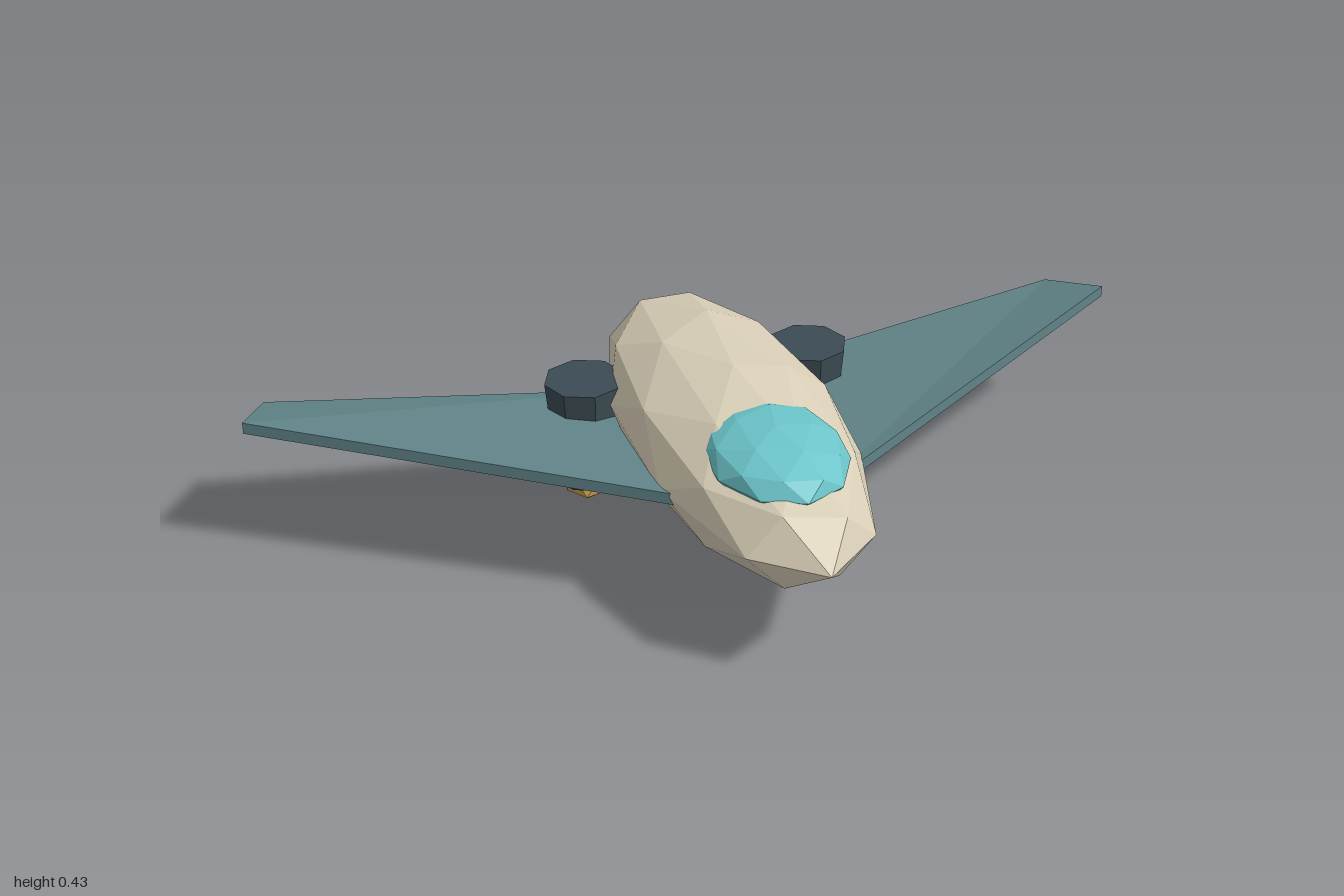
import * as THREE from 'three';

const paint = (color) => new THREE.MeshStandardMaterial({ color, flatShading: true });
const hull = paint(0xd9cfb8), glass = paint(0x6cc5ca), wingPaint = paint(0x618589);
const dark = paint(0x3c4c54), gold = paint(0xcfa250);

function add(parent, name, geometry, material, x = 0, y = 0, z = 0) {
  const mesh = new THREE.Mesh(geometry, material);
  mesh.name = name;
  mesh.position.set(x, y, z);
  parent.add(mesh);
  return mesh;
}

// Faceted ellipsoid with a vertex straight up and down
function ellipsoid(rx, ry, rz, detail) {
  return new THREE.IcosahedronGeometry(1, detail)
    .rotateZ(-Math.atan(2 / (1 + Math.sqrt(5))))
    .scale(rx, ry, rz);
}

// Swept, twisted wing: a box whose corners move to the root and tip chords
function wing(side) {
  const root = { x: 0.1, lead: [0.275, 0.29], trail: [0.21, -0.33] };
  const tip = { x: 1, lead: [0.323, -0.267], trail: [0.272, -0.433] };
  tip.trailX = 0.935;
  root.trailX = 0.1;
  const thickness = 0.026;
  const geometry = new THREE.BoxGeometry(1, 1, 1);
  const p = geometry.attributes.position;
  for (let i = 0; i < p.count; i++) {
    const end = p.getX(i) * side > 0 ? tip : root;
    const front = p.getZ(i) > 0;
    const [y, z] = front ? end.lead : end.trail;
    p.setXYZ(i, side * (front ? end.x : end.trailX), p.getY(i) > 0 ? y : y - thickness, z);
  }
  geometry.computeVertexNormals();
  return geometry;
}

export function createModel() {
  const model = new THREE.Group();
  model.name = 'smallSpacecraft';

  add(model, 'fuselage', ellipsoid(0.233, 0.155, 0.6, 1), hull, 0, 0.272, 0);
  add(model, 'canopy', ellipsoid(0.148, 0.068, 0.2, 1), glass, 0, 0.36, 0.267);

  // Tapered belly thruster
  add(model, 'bellyThruster', new THREE.CylinderGeometry(0.165, 0.115, 0.12, 8), gold, 0, 0.14, 0);

  for (const side of [-1, 1]) {
    const label = side > 0 ? 'left' : 'right';
    add(model, label + 'Wing', wing(side), wingPaint);

    // Vertical engine pod with a glowing nozzle below
    const engine = new THREE.Group();
    engine.name = label + 'Engine';
    engine.position.set(side * 0.26, 0, -0.25);
    add(engine, 'pod', new THREE.CylinderGeometry(0.09, 0.067, 0.25, 8), dark, 0, 0.183, 0);
    add(engine, 'nozzle', ellipsoid(0.055, 0.055, 0.055, 0), gold, 0, 0.055, 0);
    model.add(engine);
  }
  return model;
}
